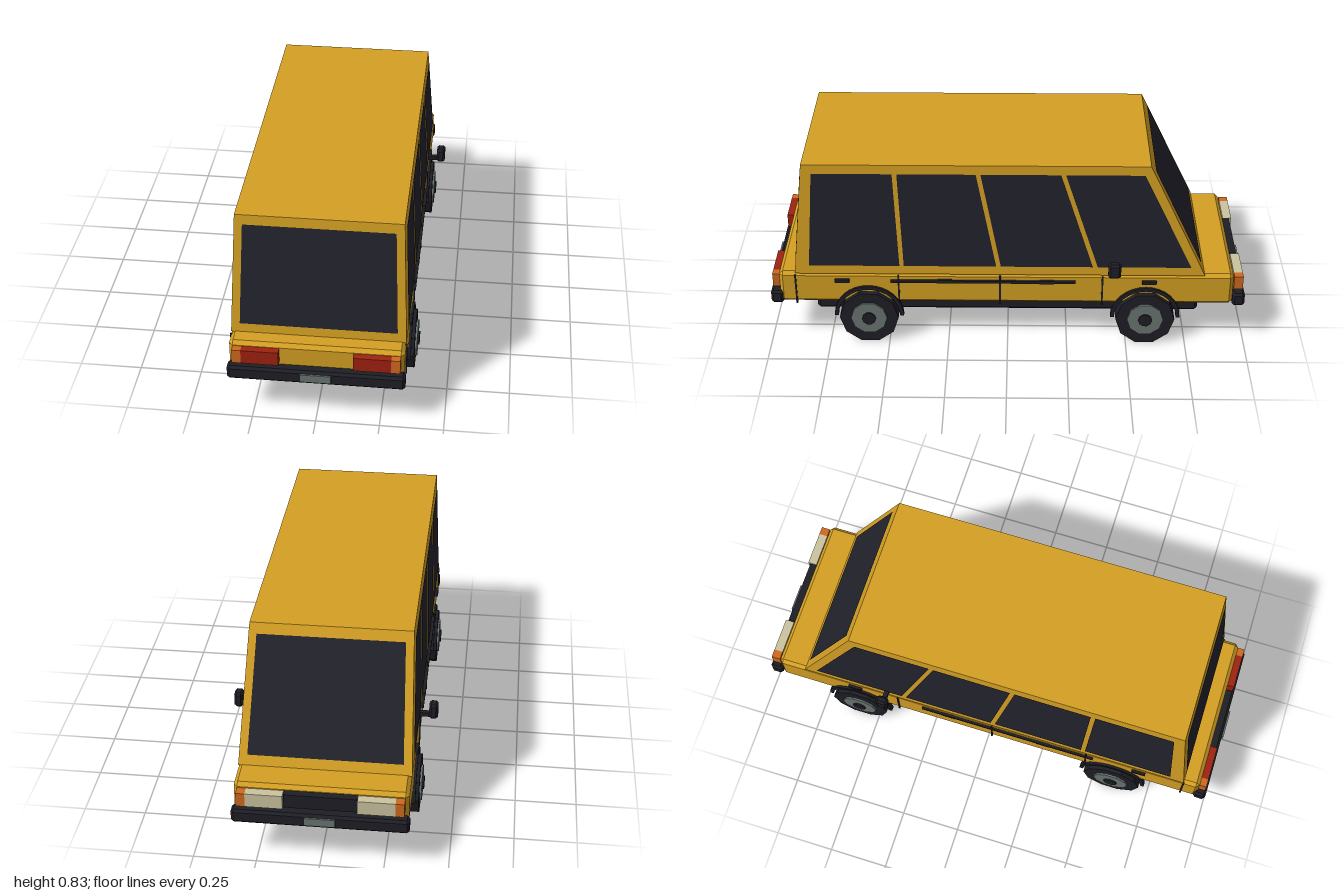
import * as THREE from 'three';
import { ConvexGeometry } from 'three/addons/geometries/ConvexGeometry.js';

const material = (name, color, extra = {}) =>
  Object.assign(new THREE.MeshStandardMaterial({ color, flatShading: true, ...extra }), { name });

export function createModel() {
  const paint = material('yellow paint', 0xd6a124);
  const glass = material('dark glass', 0x23232d, { side: THREE.DoubleSide });
  const trim = material('black trim', 0x1e1e26);
  const metal = material('grey metal', 0x6b7673);
  const red = material('red lens', 0xa02210);
  const orange = material('orange lens', 0xcf6a1e);
  const cream = material('cream lens', 0xccc4a0);

  const model = new THREE.Group();
  model.name = 'van';

  const add = (name, geometry, mat, x = 0, y = 0, z = 0) => {
    const mesh = new THREE.Mesh(geometry, mat);
    mesh.name = name;
    mesh.position.set(x, y, z);
    model.add(mesh);
    return mesh;
  };
  const box = (name, mat, w, h, d, x, y, z) =>
    add(name, new THREE.BoxGeometry(w, h, d), mat, x, y, z);

  // Box with every edge and corner cut by b
  const chamferBox = (name, mat, w, h, d, b, x, y, z) => {
    const points = [];
    for (const sx of [-1, 1]) for (const sy of [-1, 1]) for (const sz of [-1, 1]) {
      const X = w / 2, Y = h / 2, Z = d / 2;
      points.push(
        new THREE.Vector3(sx * X, sy * (Y - b), sz * (Z - b)),
        new THREE.Vector3(sx * (X - b), sy * Y, sz * (Z - b)),
        new THREE.Vector3(sx * (X - b), sy * (Y - b), sz * Z));
    }
    return add(name, new ConvexGeometry(points), mat, x, y, z);
  };

  // Flat four-cornered pane
  const pane = (name, corners) => {
    const g = new THREE.BufferGeometry();
    g.setAttribute('position', new THREE.Float32BufferAttribute(corners.flat(), 3));
    g.setIndex([0, 1, 2, 0, 2, 3]);
    g.computeVertexNormals();
    return add(name, g, glass);
  };

  // Lower body and floor slab
  chamferBox('lowerBody', paint, 0.68, 0.147, 1.895, 0.015, 0, 0.2535, 0.006);
  chamferBox('floorSlab', trim, 0.49, 0.065, 1.625, 0.012, 0, 0.114, 0.003);

  // Tapered cabin
  const Y0 = 0.325, Y1 = 0.832;
  const level = (y) => (y - Y0) / (Y1 - Y0);
  const sideX = (y) => 0.341 - 0.021 * level(y);
  const endZ = { 1: (y) => 0.885 - 0.055 * level(y), [-1]: (y) => -0.82 + 0.245 * level(y) };
  const cabin = [];
  for (const y of [Y0, Y1]) for (const s of [-1, 1]) for (const e of [-1, 1])
    cabin.push(new THREE.Vector3(s * sideX(y), y, endZ[e](y)));
  add('cabin', new ConvexGeometry(cabin), paint);

  // Windows
  const low = 0.366, high = 0.794, gap = 0.004;
  const sideWindows = [ // bottom front, bottom back, top back, top front
    [0.823, 0.448, 0.465, 0.79], [0.43, 0.047, 0.128, 0.446],
    [0.028, -0.353, -0.215, 0.109], [-0.373, -0.76, -0.552, -0.234],
  ];
  for (const s of [-1, 1]) {
    const xl = s * (sideX(low) + gap), xh = s * (sideX(high) + gap);
    for (const [a, b, c, d] of sideWindows)
      pane('sideWindow', [[xl, low, a], [xl, low, b], [xh, high, c], [xh, high, d]]);
    const zl = endZ[s](low) + s * gap, zh = endZ[s](high) + s * gap;
    pane('endWindow', [[-0.306, low, zl], [0.306, low, zl], [0.29, high, zh], [-0.29, high, zh]]);
  }

  // Bumpers, plates and lamps at both ends
  for (const e of [-1, 1]) {
    chamferBox('bumper', trim, 0.692, 0.06, 0.052, 0.01, 0, 0.205, e * 0.967);
    box('numberPlate', metal, 0.12, 0.034, 0.008, 0, 0.208, e * 0.996);
    for (const s of [-1, 1]) {
      box(e > 0 ? 'tailLamp' : 'headlamp', e > 0 ? red : cream,
        0.146, 0.06, 0.038, s * 0.217, 0.28, e * 0.964);
      box('turnSignal', orange, 0.035, 0.06, 0.038, s * 0.3075, 0.28, e * 0.964);
    }
  }
  box('grille', trim, 0.284, 0.06, 0.03, 0, 0.28, -0.957);

  // Half-ring wheel arch
  const arc = new THREE.Shape();
  arc.absarc(0, 0, 0.146, 0, Math.PI, false);
  arc.absarc(0, 0, 0.13, Math.PI, 0, true);
  const archGeometry = new THREE.ExtrudeGeometry(arc, { depth: 0.02, bevelEnabled: false, curveSegments: 8 });
  archGeometry.rotateY(Math.PI / 2).translate(-0.01, 0, 0);

  // Disc lying along the axle
  const disc = (name, mat, radius, width, x, y, z) =>
    add(name, new THREE.CylinderGeometry(radius, radius, width, 10).rotateZ(Math.PI / 2), mat, x, y, z);

  for (const s of [-1, 1]) {
    // Wheels and arches
    for (const z of [0.583, -0.578]) {
      disc('tyre', trim, 0.124, 0.07, s * 0.327, 0.118, z);
      disc('hub', metal, 0.076, 0.03, s * 0.355, 0.12, z);
      disc('hubCap', trim, 0.029, 0.03, s * 0.362, 0.12, z);
      add('wheelArch', archGeometry, trim, s * 0.34, 0.12, z);
    }
    // Door seams, rubbing strip and handles
    for (const z of [0.885, 0.455, 0.032, -0.395])
      box('doorSeam', trim, 0.01, 0.138, 0.007, s * 0.34, 0.247, z);
    box('sideStrip', trim, 0.014, 0.011, 0.77, s * 0.343, 0.291, 0.102);
    for (const z of [0.69, 0.262, -0.163, -0.59])
      box('doorHandle', trim, 0.018, 0.015, 0.06, s * 0.342, 0.292, z);
    // Mirrors
    box('mirrorArm', trim, 0.06, 0.018, 0.02, s * 0.355, 0.365, -0.44);
    chamferBox('mirror', trim, 0.036, 0.066, 0.052, 0.009, s * 0.399, 0.387, -0.44);
  }
  return model;
}
